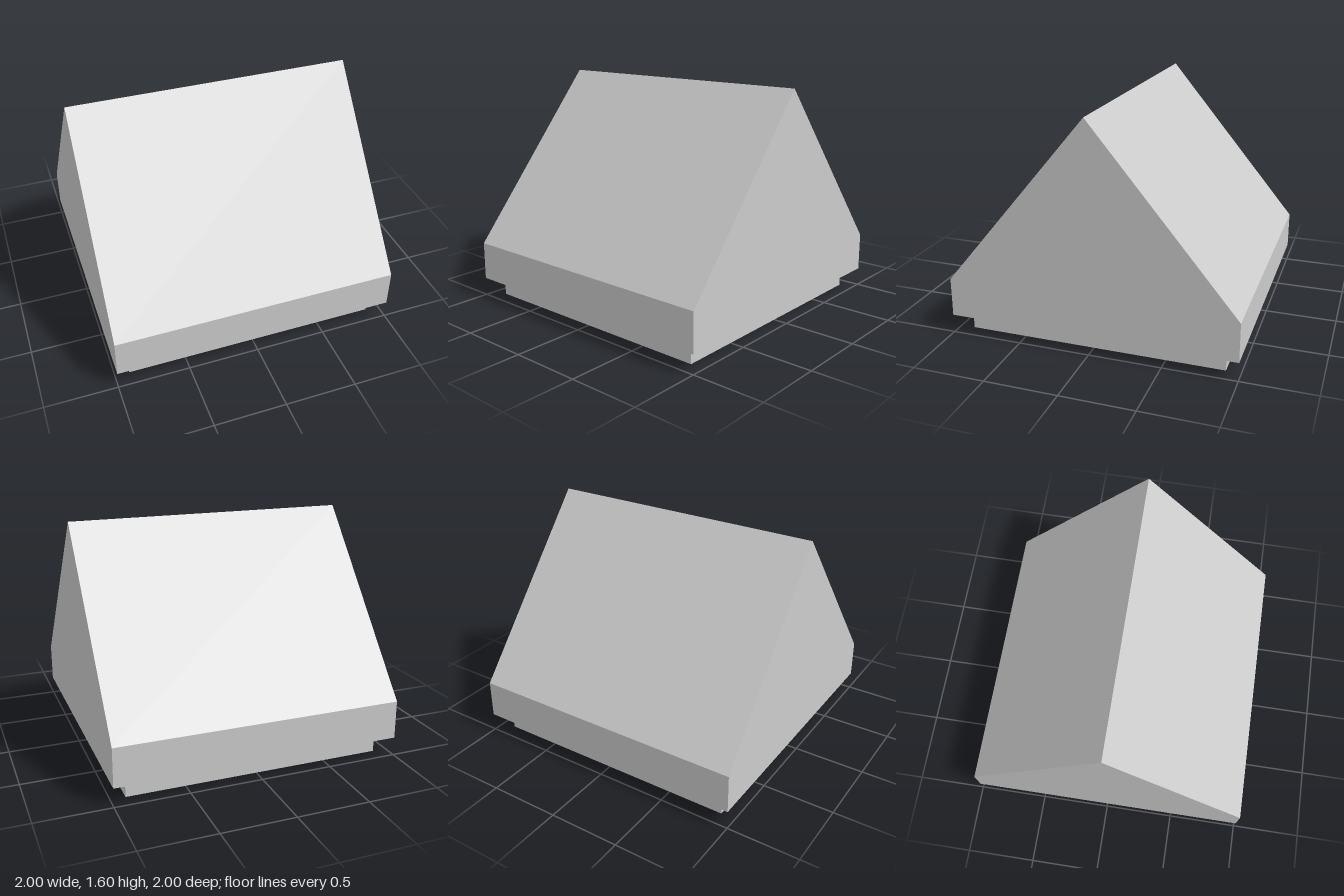
import * as THREE from 'three';

const BASE_HEIGHT = 0.13;
const EAVES = 0.4;
const RIDGE = 1.6;

export function createModel() {
  const model = new THREE.Group();
  const material = new THREE.MeshStandardMaterial({ color: 0xcccccc, flatShading: true });

  // Inset square plinth
  const plinth = new THREE.Mesh(new THREE.BoxGeometry(1.8, BASE_HEIGHT, 1.8), material);
  plinth.name = 'plinth';
  plinth.position.y = BASE_HEIGHT / 2;
  model.add(plinth);

  // Gabled block: end profile extruded along the ridge (x)
  const profile = new THREE.Shape([
    new THREE.Vector2(-1, BASE_HEIGHT),
    new THREE.Vector2(1, BASE_HEIGHT),
    new THREE.Vector2(1, EAVES),
    new THREE.Vector2(0, RIDGE),
    new THREE.Vector2(-1, EAVES),
  ]);
  const geometry = new THREE.ExtrudeGeometry(profile, { depth: 2, bevelEnabled: false });
  geometry.translate(0, 0, -1).rotateY(Math.PI / 2);
  const block = new THREE.Mesh(geometry, material);
  block.name = 'gabledBlock';
  model.add(block);

  return model;
}
